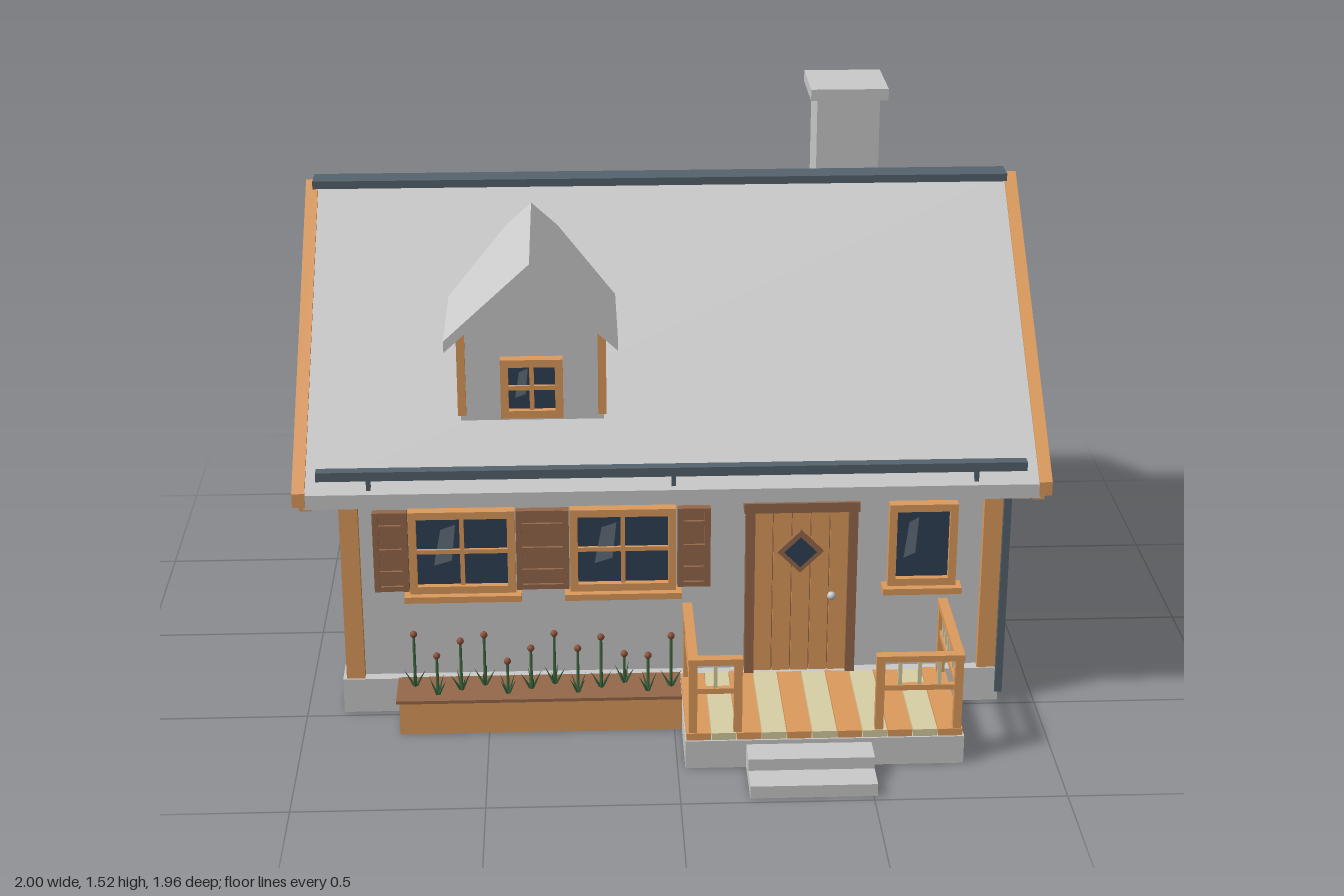
import * as THREE from 'three';

const mat = (name, hex, side = THREE.FrontSide) => {
  const m = new THREE.MeshStandardMaterial({ color: hex, side });
  m.name = name;
  return m;
};

export function createModel() {
  const plaster = mat('plaster grey', 0xcacaca);
  const wood = mat('light wood', 0xdd9a5c);
  const brown = mat('dark wood', 0x96694a);
  const slate = mat('slate', 0x55636d);
  const glass = mat('window glass', 0x2e4155);
  const glint = mat('glass glint', 0x62707c, THREE.DoubleSide);
  const cream = mat('cream wood', 0xd8cfa4);
  const green = mat('leaf green', 0x3f6a42);
  const rust = mat('flower rust', 0x8a5038);

  const house = new THREE.Group();
  house.name = 'cottage';

  const group = (name, parent = house) => {
    const g = new THREE.Group();
    g.name = name;
    parent.add(g);
    return g;
  };
  const add = (name, geo, m, parent = house) => {
    const mesh = new THREE.Mesh(geo, m);
    mesh.name = name;
    parent.add(mesh);
    return mesh;
  };
  // Box given by its limits
  const box = (name, m, x0, x1, y0, y1, z0, z1, parent) => {
    const mesh = add(name, new THREE.BoxGeometry(x1 - x0, y1 - y0, z1 - z0), m, parent);
    mesh.position.set((x0 + x1) / 2, (y0 + y1) / 2, (z0 + z1) / 2);
    return mesh;
  };
  // Outline extruded along z from z0 to z1, or along x when alongX is set
  const prism = (name, m, pts, a0, a1, alongX, parent) => {
    const shape = new THREE.Shape(pts.map(p => new THREE.Vector2(...p)));
    const geo = new THREE.ExtrudeGeometry(shape, { depth: a1 - a0, bevelEnabled: false });
    geo.translate(0, 0, a0);
    if (alongX) geo.rotateY(Math.PI / 2);
    return add(name, geo, m, parent);
  };
  // Inverted V band lying between t0 and t1 below a gable line
  const chevron = (h, apex, slope, t0, t1) => [
    [-h, apex - slope * h - t1], [0, apex - t1], [h, apex - slope * h - t1],
    [h, apex - slope * h - t0], [0, apex - t0], [-h, apex - slope * h - t0]];

  // Window facing +z, with optional cross bars
  function makeWindow(name, w, h, x, y, z, turn = 0, bars = true, sill = true, parent = house) {
    const g = group(name, parent);
    g.position.set(x, y, z);
    g.rotation.y = turn;
    const f = 0.021, a = w / 2, b = h / 2;
    box('glass', glass, -a + f, a - f, -b + f, b - f, 0, 0.012, g);
    for (const s of [-1, 1]) {
      box('frameSide', wood, s * (a - f / 2) - f / 2, s * (a - f / 2) + f / 2, -b, b, 0, 0.03, g);
      box('frameRail', wood, -a + f, a - f, s * (b - f / 2) - f / 2, s * (b - f / 2) + f / 2, 0, 0.03, g);
    }
    if (bars) {
      box('uprightBar', wood, -0.006, 0.006, -b + f, b - f, 0, 0.022, g);
      box('crossBar', wood, -a + f, a - f, -0.006, 0.006, 0, 0.021, g);
    }
    if (sill) box('sill', wood, -a - 0.015, a + 0.015, -b - 0.018, -b, 0, 0.05, g);
    const k = new THREE.Shape([[-0.27, -0.18], [-0.1, -0.12], [-0.06, 0.32], [-0.2, 0.26]]
      .map(([u, v]) => new THREE.Vector2(u * w, v * h)));
    add('glint', new THREE.ShapeGeometry(k), glint, g).position.z = 0.014;
    return g;
  }

  // Foundation, walls and timber frame
  box('foundation', plaster, -0.9, 0.9, 0, 0.1, -0.88, 0.48);
  const walls = prism('walls', plaster,
    [[-0.65, 0.1], [0.65, 0.1], [0.65, 0.74], [0, 1.25], [-0.65, 0.74]], -0.86, 0.86, true);
  walls.position.z = -0.2;
  for (const s of [-1, 1]) {
    for (const [z0, z1] of [[0.43, 0.475], [-0.875, -0.83]])
      box('cornerPost', wood, s * 0.865 - 0.025, s * 0.865 + 0.025, 0.1, 0.72, z0, z1);
    box('gableBeam', wood, s * 0.865 - 0.025, s * 0.865 + 0.025, 0.718, 0.765, -0.855, 0.455);
  }
  box('frontBeam', wood, -0.84, 0.84, 0.67, 0.715, 0.44, 0.468);
  box('backBeam', wood, -0.84, 0.84, 0.67, 0.715, -0.868, -0.84);

  // Main roof with rakes, ridge cap, fascias and gutters
  const roof = group('roof');
  roof.position.z = -0.2;
  prism('roofSlopes', plaster, chevron(0.77, 1.31, 0.805, 0, 0.04), -0.97, 0.97, true, roof);
  for (const s of [-1, 1]) {
    const strip = (name, m, c, half, t0, t1, h) =>
      prism(name, m, chevron(h, 1.315, 0.805, t0, t1), s * c - half, s * c + half, true, roof);
    strip('upperRake', wood, 0.983, 0.017, -0.003, 0.036, 0.772);
    strip('lowerRake', wood, 0.968, 0.016, 0.036, 0.068, 0.755);
    box('fascia', brown, -0.965, 0.965, 0.668, 0.695, s * 0.75 - 0.01, s * 0.75 + 0.01, roof);
    box('gutter', slate, -0.935, 0.93, 0.732, 0.757, s * 0.762 - 0.015, s * 0.762 + 0.015, roof);
    for (const x of [-0.8, 0, 0.8])
      box('gutterBracket', slate, x - 0.006, x + 0.006, 0.69, 0.735, s * 0.755 - 0.006, s * 0.755 + 0.006, roof);
  }
  box('ridgeCap', slate, -0.98, 0.97, 1.3, 1.322, -0.037, 0.037, roof);
  box('downspout', slate, 0.89, 0.91, 0.03, 0.715, 0.47, 0.49);

  // Chimney
  box('chimney', plaster, 0.45, 0.63, 0.95, 1.49, -0.555, -0.37);
  box('chimneyCap', plaster, 0.43, 0.652, 1.487, 1.52, -0.575, -0.353);

  // Dormer
  const dormer = group('dormer');
  dormer.position.x = -0.37;
  prism('dormerWalls', plaster,
    [[-0.19, 0.82], [0.19, 0.82], [0.19, 1.08], [0, 1.255], [-0.19, 1.08]], -0.05, 0.4, false, dormer);
  prism('dormerRoof', plaster, chevron(0.228, 1.28, 0.92, 0, 0.032), -0.08, 0.45, false, dormer);
  for (const s of [-1, 1])
    box('dormerPost', wood, s * 0.186 - 0.011, s * 0.186 + 0.011, 0.845, 1.08, 0.385, 0.412, dormer);
  makeWindow('dormerWindow', 0.165, 0.165, 0, 0.925, 0.4, 0, true, false, dormer);

  // Windows of the four walls
  makeWindow('frontWindow', 0.285, 0.24, -0.565, 0.475, 0.45);
  makeWindow('frontWindow', 0.285, 0.24, -0.133, 0.475, 0.45);
  makeWindow('narrowWindow', 0.185, 0.24, 0.677, 0.475, 0.45, 0, false);
  for (const x of [0.32, -0.44]) makeWindow('backWindow', 0.26, 0.245, x, 0.475, -0.85, Math.PI);
  for (const s of [-1, 1]) {
    makeWindow('sideWindow', 0.26, 0.245, s * 0.86, 0.475, -0.395, s * Math.PI / 2);
    makeWindow('gableWindow', 0.19, 0.185, s * 0.86, 0.975, -0.2, s * Math.PI / 2);
  }

  // Shutters: back board, stiles and rails
  for (const [x0, x1] of [[-0.803, -0.71], [-0.42, -0.278], [0.014, 0.103]]) {
    const g = group('shutter');
    box('board', brown, x0, x1, 0.36, 0.592, 0.45, 0.464, g);
    for (const x of [x0, x1 - 0.016]) box('stile', brown, x, x + 0.016, 0.36, 0.592, 0.46, 0.474, g);
    for (const y of [0.36, 0.405, 0.47, 0.54, 0.578])
      box('rail', brown, x0 + 0.016, x1 - 0.016, y, y + 0.014, 0.46, 0.472, g);
  }

  // Front door with planks, diamond pane and handle
  const door = group('door');
  for (let i = 0; i < 5; i++)
    box('doorPlank', wood, 0.222 + i * 0.051, 0.27 + i * 0.051, 0.1, 0.582, 0.45, 0.47, door);
  box('doorBacking', brown, 0.22, 0.476, 0.1, 0.582, 0.445, 0.464, door);
  for (const x of [0.197, 0.474]) box('doorJamb', brown, x, x + 0.025, 0.1, 0.585, 0.445, 0.485, door);
  box('doorHead', brown, 0.192, 0.503, 0.582, 0.61, 0.445, 0.49, door);
  for (const [name, m, size, z] of [['diamondFrame', brown, 0.088, 0.474], ['diamondPane', glass, 0.062, 0.478]]) {
    const d = add(name, new THREE.BoxGeometry(size, size, 0.016), m, door);
    d.position.set(0.345, 0.463, z);
    d.rotation.z = Math.PI / 4;
  }
  add('handle', new THREE.SphereGeometry(0.012, 12, 8), plaster, door).position.set(0.432, 0.33, 0.482);

  // Porch base, steps and striped deck
  const porch = group('porch');
  box('porchBase', plaster, 0.02, 0.755, 0, 0.08, 0.47, 0.82, porch);
  box('lowerStep', plaster, 0.18, 0.51, 0, 0.035, 0.8, 0.98, porch);
  box('upperStep', plaster, 0.18, 0.51, 0.035, 0.068, 0.8, 0.9, porch);
  for (let i = 0; i < 11; i++)
    box('deckPlank', i % 2 ? cream : wood, 0.023 + i * 0.0663, 0.087 + i * 0.0663, 0.08, 0.1, 0.47, 0.815, porch);

  // Railings along the deck sides and the front corners
  function railing(x0, z0, x1, z1, count) {
    const g = group('railing', porch);
    g.position.set(x0, 0, z0);
    g.rotation.y = -Math.atan2(z1 - z0, x1 - x0);
    const len = Math.hypot(x1 - x0, z1 - z0);
    box('topRail', wood, -0.012, len + 0.012, 0.298, 0.315, -0.013, 0.013, g);
    box('midRail', wood, 0, len, 0.213, 0.228, -0.008, 0.008, g);
    for (const x of [0, len]) box('post', wood, x - 0.011, x + 0.011, 0.1, 0.3, -0.011, 0.011, g);
    for (let i = 1; i <= count; i++) {
      const x = len * i / (count + 1);
      box('baluster', cream, x - 0.005, x + 0.005, 0.225, 0.3, -0.005, 0.005, g);
    }
  }
  railing(0.04, 0.49, 0.04, 0.8, 6);
  railing(0.736, 0.49, 0.736, 0.8, 6);
  railing(0.04, 0.8, 0.158, 0.8, 1);
  railing(0.53, 0.8, 0.736, 0.8, 3);

  // Planter with a row of flowers
  const planter = group('planter');
  box('planterBox', wood, -0.74, 0.02, 0, 0.095, 0.48, 0.61, planter);
  box('planterRim', brown, -0.748, 0.02, 0.095, 0.104, 0.48, 0.618, planter);
  const heights = [0.26, 0.22, 0.25, 0.255, 0.2, 0.225, 0.255, 0.235, 0.255, 0.19, 0.21, 0.255];
  heights.forEach((h, i) => {
    const f = group('flower', planter);
    f.position.set(-0.7 + i * 0.063, 0.1, 0.53 + 0.025 * ((i * 2) % 3));
    const tall = h - 0.1;
    add('stem', new THREE.CylinderGeometry(0.004, 0.005, tall, 6), green, f).position.y = tall / 2;
    add('bloom', new THREE.SphereGeometry(0.01, 8, 6), rust, f).position.y = tall;
    for (let k = 0; k < 4; k++) {
      const pivot = group('leaf', f);
      pivot.rotation.y = k * 1.57 + i;
      const leaf = add('leafBlade', new THREE.ConeGeometry(0.005, 0.06, 4), green, pivot);
      leaf.position.set(0.015, 0.027, 0);
      leaf.rotation.z = -0.5;
    }
  });

  return house;
}
